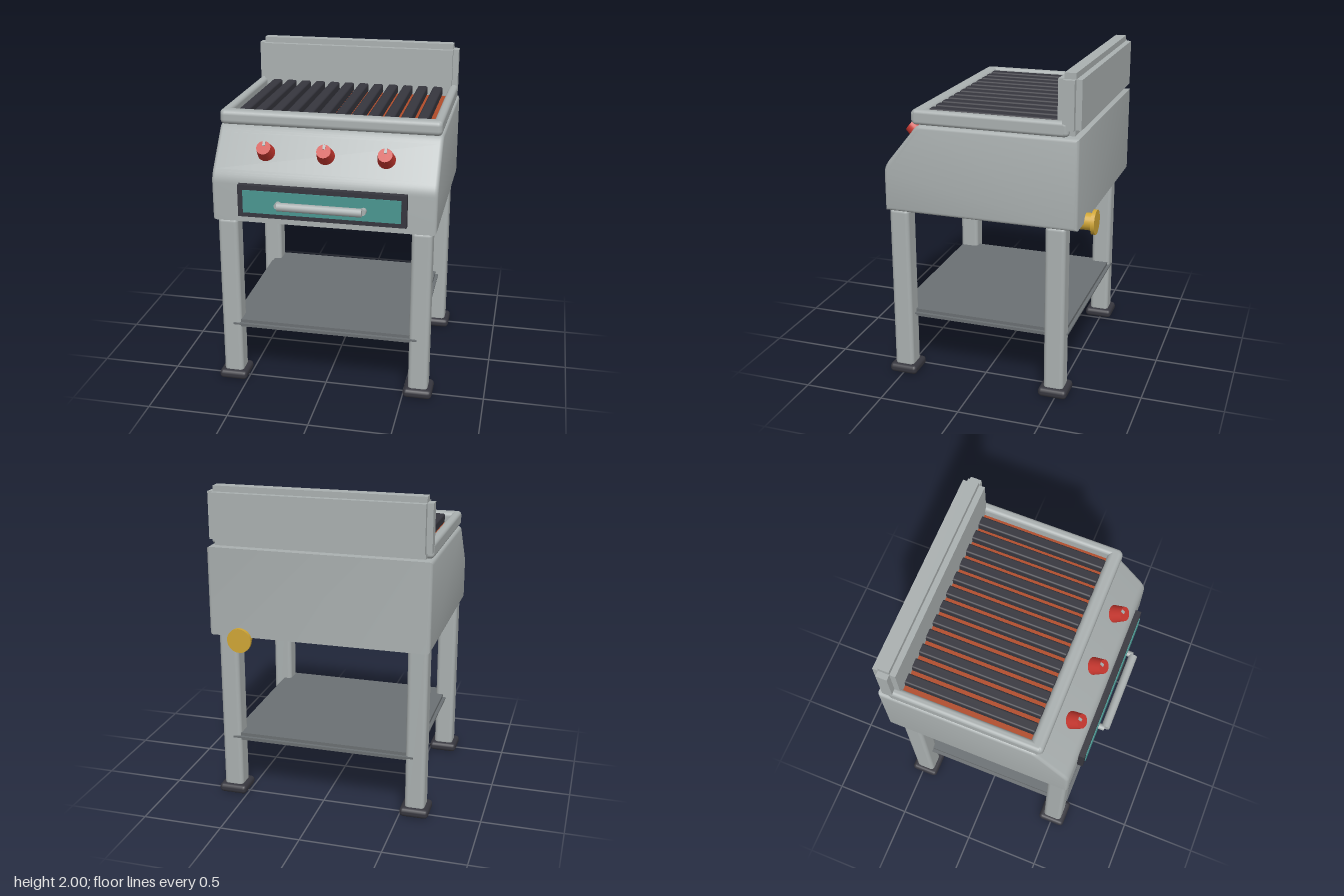
import * as THREE from 'three';
import { toCreasedNormals } from 'three/addons/utils/BufferGeometryUtils.js';
import { RoundedBoxGeometry } from 'three/addons/geometries/RoundedBoxGeometry.js';

const material = (name, color) => {
  const m = new THREE.MeshStandardMaterial({ color });
  m.name = name;
  return m;
};

export function createModel() {
  const steel = material('brushed steel', 0xaab0b0);
  const shelfSteel = material('dark shelf steel', 0x6b7073);
  const iron = material('cast iron', 0x36363e);
  const ember = material('ember orange', 0xb04c2a);
  const red = material('knob red', 0xc8372f);
  const teal = material('drawer teal', 0x4a9691);
  const brass = material('brass', 0xd0a636);

  const model = new THREE.Group();
  model.name = 'grillStation';

  const add = (name, geometry, mat, x = 0, y = 0, z = 0, parent = model) => {
    const mesh = new THREE.Mesh(geometry, mat);
    mesh.name = name;
    mesh.position.set(x, y, z);
    parent.add(mesh);
    return mesh;
  };
  const rounded = (w, h, d, r, segments = 3) => new RoundedBoxGeometry(w, h, d, segments, r);

  // Panel with stepped edges: three crossing boxes, each full size on two axes less the step
  const steppedPanel = (name, mat, w, h, d, s, x, y, z) => {
    const group = new THREE.Group();
    group.name = name;
    group.position.set(x, y, z);
    add(name + 'Width', new THREE.BoxGeometry(w, h - 2 * s, d - 2 * s), mat, 0, 0, 0, group);
    add(name + 'Height', new THREE.BoxGeometry(w - 2 * s, h, d - 2 * s), mat, 0, 0, 0, group);
    add(name + 'Depth', new THREE.BoxGeometry(w - 2 * s, h - 2 * s, d), mat, 0, 0, 0, group);
    model.add(group);
  };

  // Body: side profile (z, y) with a sloped control face, extruded across the width
  const profile = new THREE.Shape();
  profile.moveTo(-0.62, 1.095);
  profile.lineTo(0.572, 1.095);
  profile.lineTo(0.572, 1.33);
  profile.quadraticCurveTo(0.572, 1.37, 0.54, 1.41);
  profile.lineTo(0.39, 1.595);
  profile.quadraticCurveTo(0.36, 1.64, 0.33, 1.64);
  profile.lineTo(-0.62, 1.64);
  profile.closePath();
  const bevel = 0.022;
  const bodyGeometry = new THREE.ExtrudeGeometry(profile, {
    depth: 1.36 - 2 * bevel, bevelEnabled: true, bevelSize: bevel, bevelOffset: -bevel,
    bevelThickness: bevel, bevelSegments: 3, curveSegments: 6,
  });
  bodyGeometry.translate(0, 0, -0.68 + bevel);
  bodyGeometry.rotateY(-Math.PI / 2);
  add('body', toCreasedNormals(bodyGeometry, 0.7), steel);

  // Raised rim around the cooking area
  for (const side of [-1, 1]) {
    add('sideRim', rounded(0.055, 0.09, 0.93, 0.022), steel, side * 0.645, 1.685, -0.08);
  }
  add('frontRim', rounded(1.345, 0.09, 0.085, 0.03), steel, 0, 1.685, 0.353);
  add('backRim', rounded(1.345, 0.09, 0.06, 0.025), steel, 0, 1.685, -0.525);

  // Ember bed and grate bars
  add('emberBed', new THREE.BoxGeometry(1.25, 0.02, 0.85), ember, 0, 1.65, -0.09);
  for (let i = 0; i < 12; i++) {
    add('grateBar', rounded(0.064, 0.06, 0.82, 0.012, 2), iron, (i - 5.5) * 0.099, 1.692, -0.095);
  }

  // Backsplash and lower shelf
  steppedPanel('backsplash', steel, 1.34, 0.355, 0.138, 0.035, 0, 1.8225, -0.552);
  steppedPanel('shelf', shelfSteel, 1.2, 0.05, 1.125, 0.02, 0, 0.395, 0.008);

  // Legs and feet
  for (const x of [-0.593, 0.593]) {
    for (const z of [0.498, -0.484]) {
      add('leg', rounded(0.124, 1.06, 0.124, 0.025), steel, x, 0.57, z);
      add('foot', rounded(0.18, 0.058, 0.18, 0.024, 2), iron, x, 0.029, z);
    }
  }

  // Control knobs, standing square to the sloped face
  for (const x of [-0.363, 0, 0.363]) {
    const knob = new THREE.Group();
    knob.name = 'knob';
    knob.position.set(x, 1.525, 0.493);
    knob.rotation.x = Math.atan2(0.78, 0.63);
    add('knobGrip', new THREE.CylinderGeometry(0.043, 0.054, 0.08, 24), red, 0, 0.005, 0, knob);
    add('knobMarker', new THREE.BoxGeometry(0.016, 0.008, 0.028), steel, 0, 0.046, -0.026, knob);
    model.add(knob);
  }

  // Drawer front with inset panel
  add('drawerFrame', new THREE.BoxGeometry(1.015, 0.198, 0.05), iron, 0, 1.241, 0.584);
  add('drawerPanel', new THREE.BoxGeometry(0.95, 0.14, 0.009), teal, 0, 1.241, 0.611);

  // Drawer handle
  const bar = new THREE.CylinderGeometry(0.026, 0.026, 0.505, 16);
  bar.rotateZ(Math.PI / 2);
  add('handleBar', bar, steel, 0, 1.237, 0.656);
  for (const side of [-1, 1]) {
    const post = new THREE.CylinderGeometry(0.019, 0.019, 0.06, 12);
    post.rotateX(Math.PI / 2);
    add('handlePost', post, steel, side * 0.256, 1.237, 0.622);
  }

  // Gas inlet at the back
  const pipe = new THREE.CylinderGeometry(0.052, 0.052, 0.08, 24);
  pipe.rotateX(Math.PI / 2);
  add('inletPipe', pipe, brass, 0.467, 1.091, -0.625);
  const flange = new THREE.CylinderGeometry(0.075, 0.075, 0.022, 24);
  flange.rotateX(Math.PI / 2);
  add('inletFlange', flange, brass, 0.467, 1.091, -0.673);

  return model;
}
